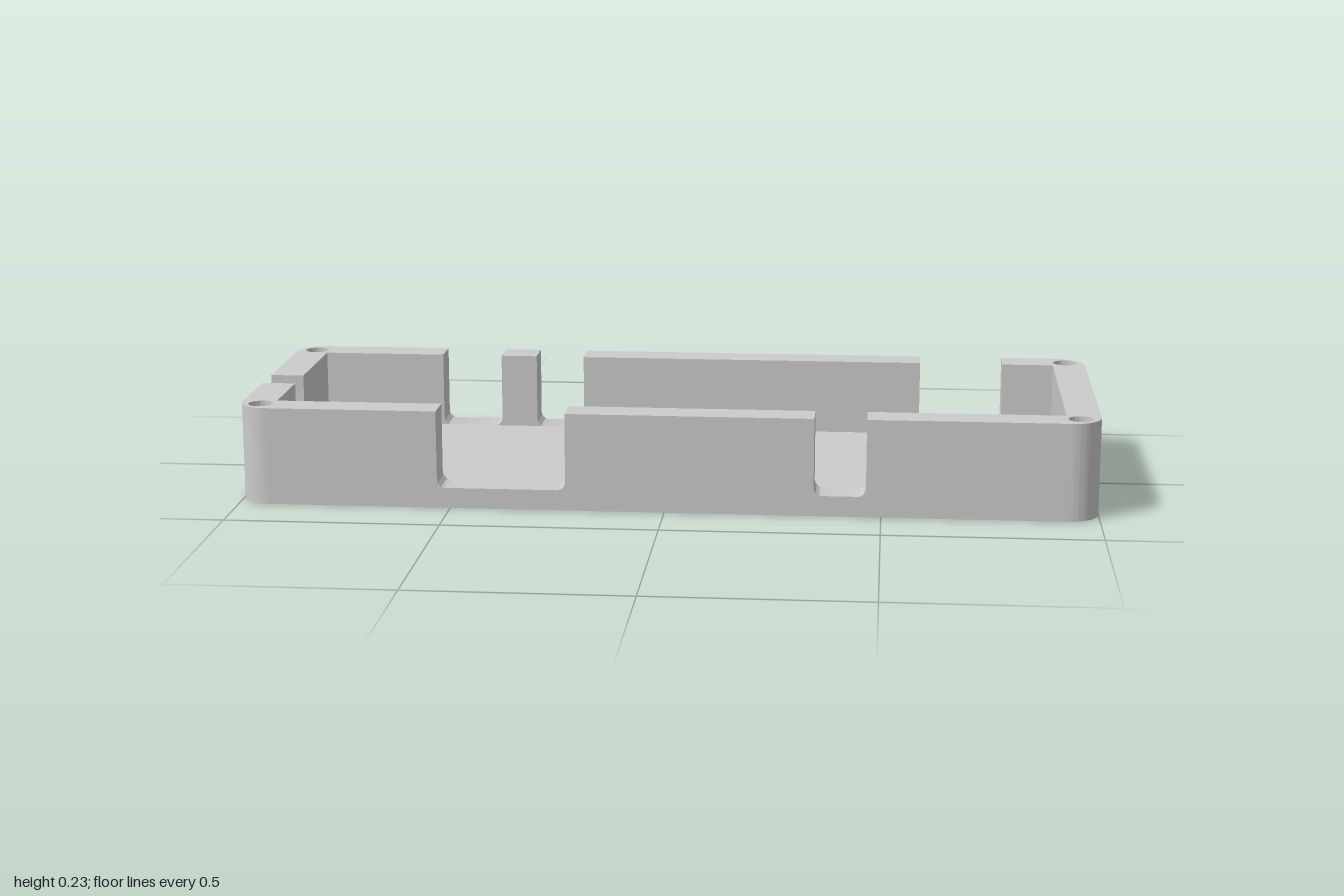
import * as THREE from 'three';
import { toCreasedNormals } from 'three/addons/utils/BufferGeometryUtils.js';

const X = 1, Z = 0.3525, H = 0.23;     // outer half sizes and height
const T = 0.08, FLOOR = 0.048;         // wall and floor thickness
const CORNER_R = 0.07, HOLE_R = 0.029, HOLE_IN = 0.048, FILLET = 0.02;
const material = new THREE.MeshStandardMaterial({ color: 0xcccccc });

function extrude(shape, depth) {
  const geo = new THREE.ExtrudeGeometry(shape, { depth, bevelEnabled: false, curveSegments: 16 });
  return toCreasedNormals(geo, 0.5);
}

// Upright wall along x, cut from the top by notches with rounded lower corners
function wallGeometry(half, notches) {
  const s = new THREE.Shape();
  s.moveTo(-half, H);
  s.lineTo(-half, 0);
  s.lineTo(half, 0);
  s.lineTo(half, H);
  for (const [a, b] of [...notches].reverse()) {
    s.lineTo(b, H);
    s.lineTo(b, FLOOR + FILLET);
    s.absarc(b - FILLET, FLOOR + FILLET, FILLET, 0, -Math.PI / 2, true);
    s.lineTo(a + FILLET, FLOOR);
    s.absarc(a + FILLET, FLOOR + FILLET, FILLET, -Math.PI / 2, -Math.PI, true);
    s.lineTo(a, H);
  }
  s.closePath();
  return extrude(s, T);
}

// Square post with one rounded corner and a screw hole, outer corner towards (sx, sz)
function cornerPost(sx, sz) {
  const s = new THREE.Shape();
  s.moveTo(0, 0);
  s.lineTo(T, 0);
  s.lineTo(T, T - CORNER_R);
  s.absarc(T - CORNER_R, T - CORNER_R, CORNER_R, 0, Math.PI / 2, false);
  s.lineTo(0, T);
  s.closePath();
  const c = T - HOLE_IN;
  s.holes.push(new THREE.Path().absarc(c, c, HOLE_R, 0, Math.PI * 2, true));
  const post = new THREE.Group();
  post.name = 'cornerPost';
  const block = new THREE.Mesh(extrude(s, H).rotateX(-Math.PI / 2), material);
  block.name = 'postBlock';
  // closes the lower end of the screw hole
  const plug = new THREE.Mesh(new THREE.CylinderGeometry(HOLE_R, HOLE_R, FLOOR, 64), material);
  plug.name = 'holeBottom';
  plug.position.set(c, FLOOR / 2, -c);
  post.add(block, plug);
  // unrotated block points to +x, -z; turn it to the wanted corner
  post.rotation.y = sx > 0 ? (sz > 0 ? -Math.PI / 2 : 0) : (sz > 0 ? Math.PI : Math.PI / 2);
  post.position.set(sx * (X - T), 0, sz * (Z - T));
  return post;
}

export function createModel() {
  const model = new THREE.Group();
  model.name = 'openCase';
  const add = (name, geo, x, y, z, turn = 0) => {
    const mesh = new THREE.Mesh(geo, material);
    mesh.name = name;
    mesh.position.set(x, y, z);
    mesh.rotation.y = turn;
    model.add(mesh);
  };
  const inX = X - T, inZ = Z - T;

  add('floor', new THREE.BoxGeometry(2 * inX, FLOOR, 2 * inZ), 0, FLOOR / 2, 0);

  // Walls with port notches
  add('frontWall', wallGeometry(inX, [[-0.53, -0.23], [0.345, 0.465]]), 0, 0, inZ);
  add('backWall', wallGeometry(inX, [[-0.62, -0.47], [-0.38, -0.26], [0.59, 0.795]]), 0, 0, -Z);
  add('rightWall', wallGeometry(inZ, [[0, 0.088]]), -inX, 0, 0, -Math.PI / 2);
  add('leftWall', wallGeometry(inZ, []), X, 0, 0, -Math.PI / 2);

  // Corner screw posts
  for (const sx of [-1, 1]) for (const sz of [-1, 1]) model.add(cornerPost(sx, sz));
  return model;
}
